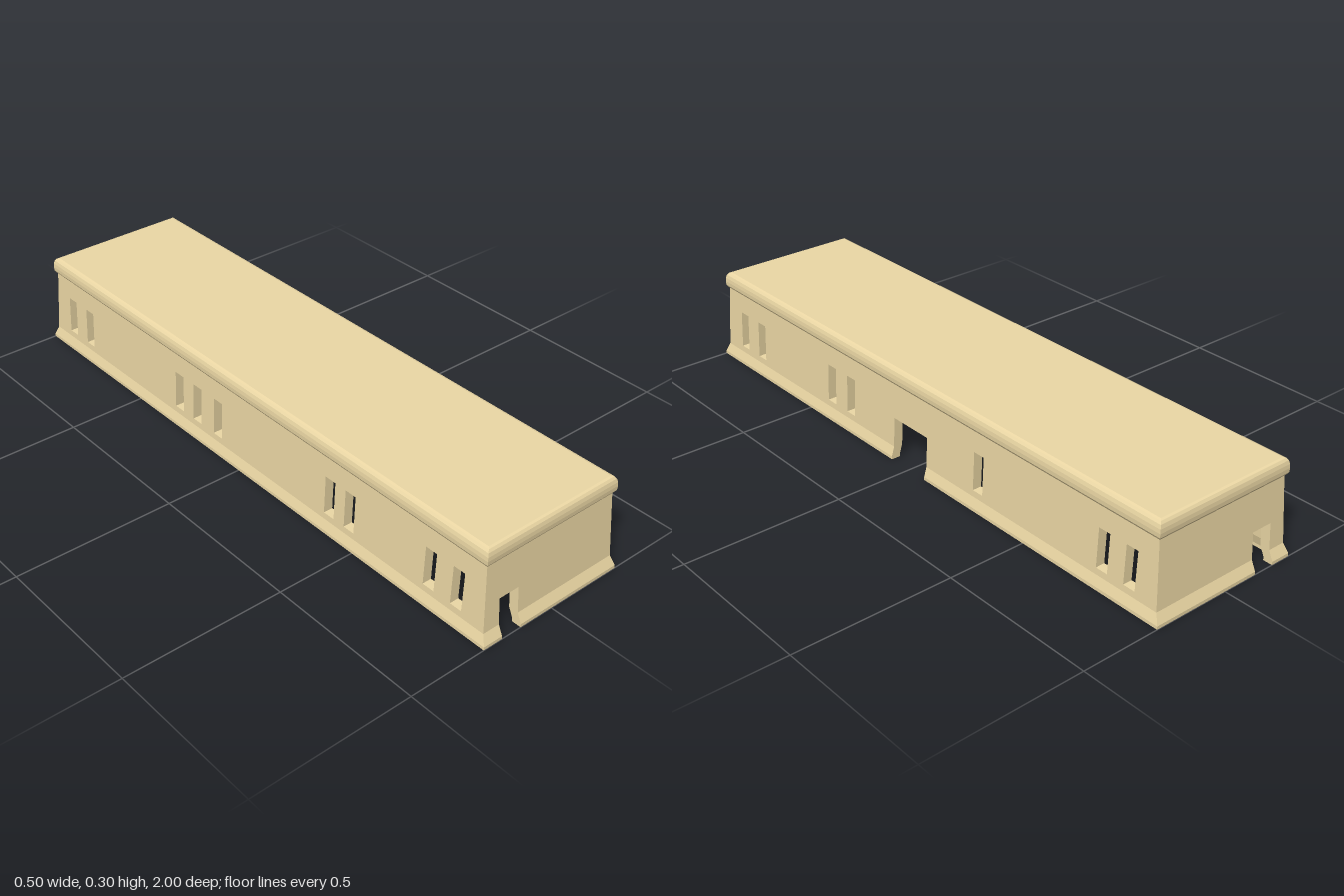
import * as THREE from 'three';

const SAND = new THREE.MeshStandardMaterial({ color: 0xecd8a5, flatShading: true });

// Outer half sizes follow a batter that flares into a skirt at the foot
const CEILING = 0.262, THICKNESS = 0.03;
const BATTER = [[0, 0.018], [0.01, 0.018], [0.04, 0.009], [0.25, 0], [CEILING, 0]];
function batter(y) {
  for (let i = 1; i < BATTER.length; i++) {
    const [y0, a] = BATTER[i - 1], [y1, b] = BATTER[i];
    if (y <= y1) return a + (b - a) * (y - y0) / (y1 - y0);
  }
  return 0;
}
const outerX = (y) => 0.232 + batter(y);
const outerZ = (y) => 0.972 + 1.55 * batter(y);
const innerX = (y) => outerX(y) - THICKNESS;
const innerZ = (y) => outerZ(y) - THICKNESS;

function meshFromQuads(name, quads) {
  const pos = [];
  for (const [a, b, c, d] of quads) pos.push(...a, ...b, ...c, ...a, ...c, ...d);
  const g = new THREE.BufferGeometry();
  g.setAttribute('position', new THREE.Float32BufferAttribute(pos, 3));
  g.computeVertexNormals();
  const mesh = new THREE.Mesh(g, SAND);
  mesh.name = name;
  return mesh;
}

// One wall facing +z, mitred at its ends; openings are [u0, u1, y0, y1]
function wall(name, openings, depthOut, depthIn, halfOut, halfIn) {
  const sorted = (list) => [...new Set(list)].sort((a, b) => a - b);
  const us = sorted([-9, 9, ...openings.flatMap((o) => [o[0], o[1]])]);
  const ys = sorted([...BATTER.map((p) => p[0]), ...openings.flatMap((o) => [o[2], o[3]])]);
  const along = (u, half) => (Math.abs(u) === 9 ? Math.sign(u) * half : u);
  const out = (u, y) => [along(u, halfOut(y)), y, depthOut(y)];
  const inn = (u, y) => [along(u, halfIn(y)), y, depthIn(y)];
  const solid = (i, j) => {
    const u = (us[i] + us[i + 1]) / 2, y = (ys[j] + ys[j + 1]) / 2;
    return !openings.some((o) => u > o[0] && u < o[1] && y > o[2] && y < o[3]);
  };
  const quads = [];
  for (let i = 0; i < us.length - 1; i++) {
    for (let j = 0; j < ys.length - 1; j++) {
      if (!solid(i, j)) continue;
      const a = us[i], b = us[i + 1], c = ys[j], d = ys[j + 1];
      quads.push([out(a, c), out(b, c), out(b, d), out(a, d)]);
      quads.push([inn(b, c), inn(a, c), inn(a, d), inn(b, d)]);
      // Foot and the reveals around openings
      if (j === 0 || !solid(i, j - 1)) quads.push([inn(a, c), inn(b, c), out(b, c), out(a, c)]);
      if (j < ys.length - 2 && !solid(i, j + 1)) quads.push([out(a, d), out(b, d), inn(b, d), inn(a, d)]);
      if (i > 0 && !solid(i - 1, j)) quads.push([inn(a, c), out(a, c), out(a, d), inn(a, d)]);
      if (i < us.length - 2 && !solid(i + 1, j)) quads.push([out(b, c), inn(b, c), inn(b, d), out(b, d)]);
    }
  }
  return meshFromQuads(name, quads);
}

// Roof slab with a rounded cornice, lofted through rectangles of [inset, y]
function roof() {
  const rings = [[0.03, 0.245], [0.006, 0.247], [0.001, 0.255], [0, 0.268], [0.001, 0.28],
    [0.004, 0.291], [0.009, 0.298], [0.016, 0.3]].map(([inset, y]) => {
    const x = 0.241 - inset, z = 0.981 - inset;
    return [[-x, y, z], [x, y, z], [x, y, -z], [-x, y, -z]];
  });
  const quads = [rings[rings.length - 1]];
  for (let r = 0; r < rings.length - 1; r++) {
    for (let k = 0; k < 4; k++) {
      const n = (k + 1) % 4;
      quads.push([rings[r][k], rings[r][n], rings[r + 1][n], rings[r + 1][k]]);
    }
  }
  return meshFromQuads('roof', quads);
}

export function createModel() {
  const model = new THREE.Group();
  model.name = 'longBuilding';

  const windowsAt = (list) => list.map((u) => [u - 0.02, u + 0.02, 0.06, 0.18]);

  // End walls, each with a doorway on the right-hand (-x) side
  const front = wall('frontWall', [[-0.185, -0.116, 0, 0.122]], outerZ, innerZ, outerX, innerX);
  const back = wall('backWall', [[0.116, 0.185, 0, 0.122]], outerZ, innerZ, outerX, innerX);
  back.rotation.y = Math.PI;

  // Long walls with window slots
  const left = wall('leftWall',
    [...windowsAt([-0.885, -0.785, -0.393, -0.295, 0.3, 0.79, 0.888]), [-0.08, 0.073, 0, 0.135]],
    outerX, innerX, outerZ, innerZ);
  left.rotation.y = Math.PI / 2;
  const right = wall('rightWall',
    windowsAt([-0.888, -0.79, -0.3, -0.21, -0.11, 0.393, 0.475, 0.785, 0.885]),
    outerX, innerX, outerZ, innerZ);
  right.rotation.y = -Math.PI / 2;

  // Ceiling seen through the open underside
  const x = innerX(CEILING), z = innerZ(CEILING), y = CEILING;
  const ceiling = meshFromQuads('ceiling', [[[-x, y, -z], [x, y, -z], [x, y, z], [-x, y, z]]]);

  model.add(front, back, left, right, roof(), ceiling);
  return model;
}
